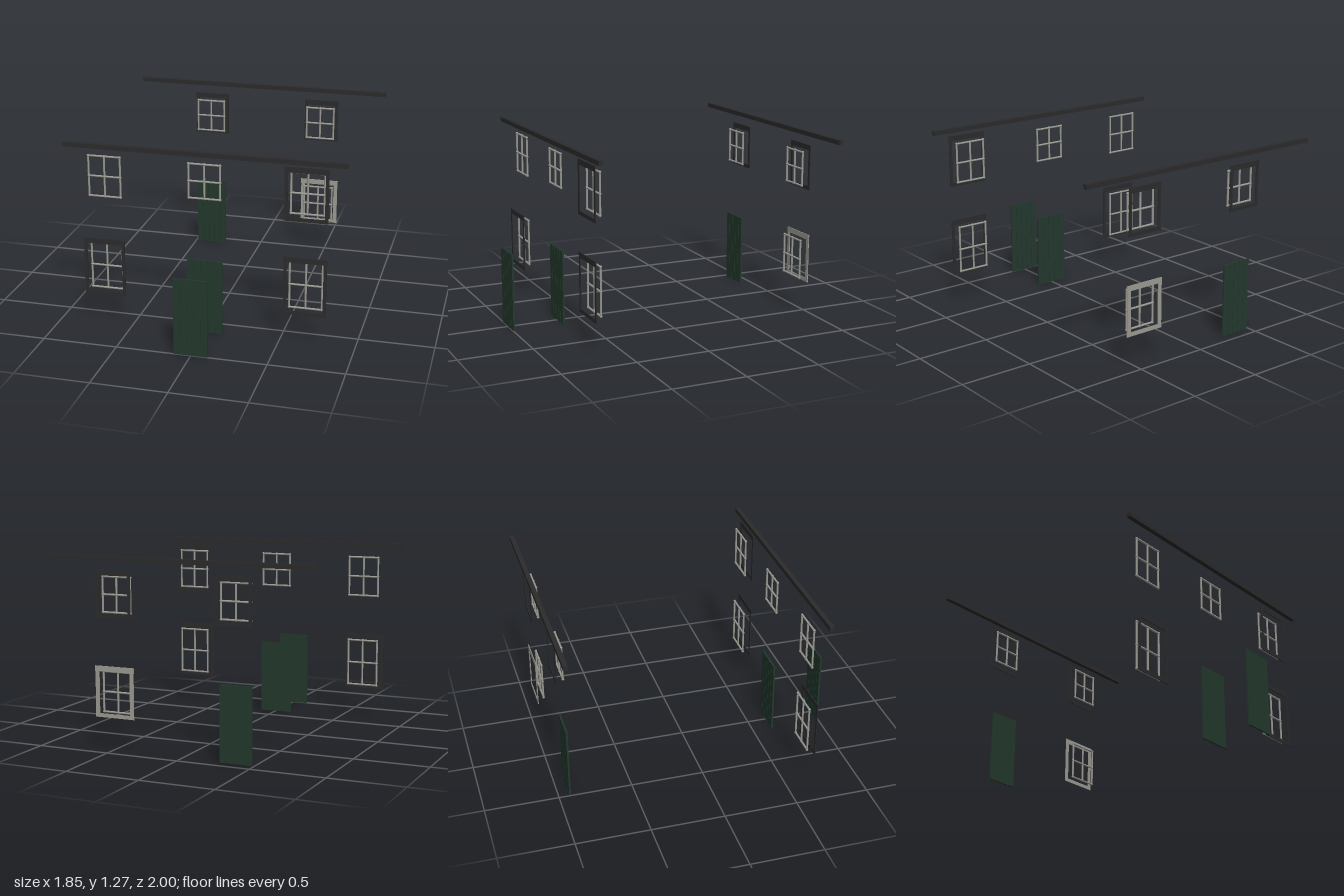
import * as THREE from 'three';

const flat = (name, color) => {
  const m = new THREE.MeshStandardMaterial({ color });
  m.name = name;
  return m;
};

export function createModel() {
  const black = flat('black trim', 0x2b2b2c);
  const grey = flat('grey stone', 0x9c9b93);
  const green = flat('door green', 0x23392d);
  const model = new THREE.Group();

  function box(parent, name, mat, x0, x1, y0, y1, z, depth) {
    const mesh = new THREE.Mesh(new THREE.BoxGeometry(x1 - x0, y1 - y0, depth), mat);
    mesh.position.set((x0 + x1) / 2, (y0 + y1) / 2, z);
    mesh.name = name;
    parent.add(mesh);
  }

  // Glazing grid of round bars with small knobs where they cross
  function glazing(cx, halfWidth, y0, y1, z) {
    const group = new THREE.Group();
    group.name = 'windowBars';
    const r = 0.007;
    const cy = (y0 + y1) / 2, halfHeight = (y1 - y0) / 2;
    const upright = new THREE.CylinderGeometry(r, r, halfHeight * 2, 8);
    const rail = new THREE.CylinderGeometry(r, r, halfWidth * 2, 8).rotateZ(Math.PI / 2);
    const knob = new THREE.SphereGeometry(0.0095, 8, 6);
    const add = (geometry, name, x, y) => {
      const mesh = new THREE.Mesh(geometry, grey);
      mesh.name = name;
      mesh.position.set(x, y, z);
      group.add(mesh);
    };
    for (const i of [-1, 0, 1]) {
      add(upright, 'upright', cx + i * halfWidth, cy);
      add(rail, 'rail', cx, cy + i * halfHeight);
      for (const j of [-1, 0, 1]) add(knob, 'knob', cx + i * halfWidth, cy + j * halfHeight);
    }
    model.add(group);
  }

  // Flat surround: two jambs, a deep lintel and a sill
  function surround(cx, halfWidth, y0, y1, z, mat, jamb = 0.023) {
    const group = new THREE.Group();
    group.name = 'windowSurround';
    const lintel = 0.036, sill = 0.025, d = 0.005;
    const a = cx - halfWidth, b = cx + halfWidth;
    box(group, 'lintel', mat, a, b, y1 - lintel, y1, z, d);
    box(group, 'sill', mat, a, b, y0, y0 + sill, z, d);
    box(group, 'leftJamb', mat, b - jamb, b - 0.002, y0 + sill, y1 - lintel, z, d);
    box(group, 'rightJamb', mat, a + 0.002, a + jamb, y0 + sill, y1 - lintel, z, d);
    model.add(group);
  }

  // Door of five upright planks, optionally closed by a thin core
  function door(name, x0, x1, height, z, core) {
    const group = new THREE.Group();
    group.name = name;
    const n = 5, gap = 0.003, w = (x1 - x0 - gap * (n - 1)) / n;
    for (let i = 0; i < n; i++) {
      const x = x0 + i * (w + gap);
      box(group, 'plank', green, x, x + w, 0, height, z, 0.012);
    }
    if (core) box(group, 'core', green, x0 + 0.002, x1 - 0.002, 0, height - 0.002, z, 0.004);
    model.add(group);
  }

  // Gutters along both eaves
  for (const z of [0.7, -0.985]) box(model, 'gutter', black, -0.925, 0.925, 1.24, 1.27, z, 0.03);

  // Front windows
  for (const s of [-1, 1]) {
    glazing(s * 0.67, 0.107, 0.897, 1.17, 0.645);
    glazing(s * 0.67, 0.107, 0.25, 0.572, 0.645);
    surround(s * 0.671, 0.142, 0.217, 0.616, 0.69, black);
  }
  glazing(0, 0.104, 0.94, 1.17, 0.645);
  surround(0.67, 0.142, 0.86, 1.217, 0.69, black);

  // Back windows
  for (const x of [-0.377, 0.456]) {
    glazing(x, 0.1, 0.905, 1.135, -0.925);
    surround(x, 0.126, 0.874, 1.182, -0.97, black);
  }
  glazing(0.454, 0.105, 0.255, 0.52, -0.925);
  surround(0.454, 0.14, 0.227, 0.563, -0.97, grey, 0.03);

  // Doors
  door('porchDoor', -0.112, 0.11, 0.525, 0.994, true);
  door('frontDoor', -0.119, 0.116, 0.512, 0.643, true);
  door('backDoor', -0.485, -0.265, 0.5, -0.922, false);

  return model;
}
